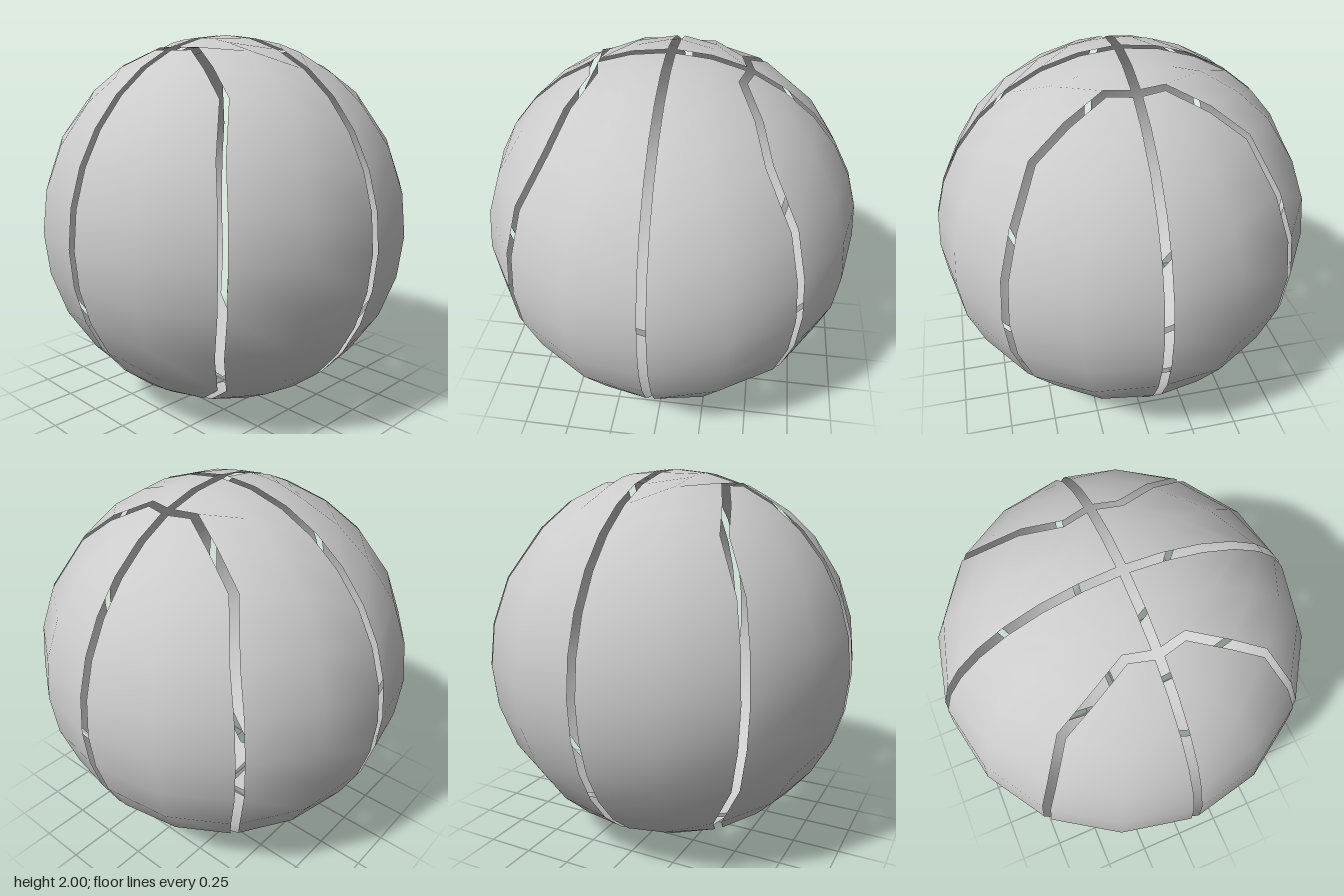
import * as THREE from 'three';

const GAP = 0.021; // half width of the seams
const STEP = Math.PI / 16; // one row of facets
const V = (x, y, z) => new THREE.Vector3(x, y, z);

// Side seam, from the equator to where it meets the cross seam: (y, z) on the unit sphere
const sideSeam = [[0, 0.707], [0.22, 0.688], [0.455, 0.62], [0.705, 0.5], [0.835, 0.33], [0.925, 0.14], [0.924, 0]]
  .map(([y, z]) => V(Math.sqrt(1 - y * y - z * z), y, z));

// Edge of a panel along the side seam; side = 1 is the outer panel, -1 the inner one
function sideEdge(k, side) {
  const p = sideSeam[k];
  const before = k > 0 ? sideSeam[k - 1] : sideSeam[1].clone().multiply(V(1, -1, 1));
  const after = k < 6 ? sideSeam[k + 1] : sideSeam[5].clone().multiply(V(1, 1, -1));
  const across = after.clone().sub(before).normalize().cross(p).normalize();
  const q = p.clone().addScaledVector(across, GAP * side);
  if (k === 6) q.z = GAP;
  return q.normalize();
}

// Start and end of each row, for rows from the equator upward
function outerRow(j) {
  const edge = sideEdge(j, 1);
  if (j === 6) return [edge, edge];
  return [edge, V(Math.cos(j * STEP), Math.sin(j * STEP), GAP).normalize()];
}

function innerRow(j) {
  const z = Math.max(Math.cos(j * STEP), GAP);
  return [V(GAP, Math.sin(j * STEP), z).normalize(), sideEdge(Math.min(j, 6), -1)];
}

// Curved panel, two facets wide, mirrored about the equator and into its quadrant
function panel(row, rows, sx, sz) {
  const points = [], index = [];
  for (let j = -rows; j <= rows; j++) {
    const [a, b] = row(Math.abs(j));
    const middle = a.clone().add(b).normalize();
    for (const p of [a, middle, b]) points.push(p.clone().multiply(V(sx, j < 0 ? -1 : 1, sz)));
  }
  const triangle = (a, b, c) => {
    const [p, q, r] = [points[a], points[b], points[c]];
    if (Math.min(p.distanceTo(q), q.distanceTo(r), r.distanceTo(p)) < 1e-6) return;
    index.push(...(sx * sz > 0 ? [a, b, c] : [a, c, b]));
  };
  for (let j = 0; j < rows * 2; j++) {
    for (let i = 0; i < 2; i++) {
      const a = j * 3 + i;
      triangle(a, a + 1, a + 4);
      triangle(a, a + 4, a + 3);
    }
  }
  const geometry = new THREE.BufferGeometry().setFromPoints(points);
  geometry.setIndex(index);
  // On a unit sphere the smooth normal equals the position
  geometry.setAttribute('normal', geometry.attributes.position.clone());
  return geometry;
}

export function createModel() {
  const material = new THREE.MeshStandardMaterial({ color: 0xcccccc, side: THREE.DoubleSide });
  const ball = new THREE.Group();
  ball.name = 'ball';
  for (const sx of [1, -1]) {
    for (const sz of [1, -1]) {
      const place = (sz > 0 ? 'Front' : 'Back') + (sx > 0 ? 'Left' : 'Right');
      for (const [name, row, rows] of [['outerPanel', outerRow, 6], ['innerPanel', innerRow, 8]]) {
        const mesh = new THREE.Mesh(panel(row, rows, sx, sz), material);
        mesh.name = name + place;
        ball.add(mesh);
      }
    }
  }
  // The ball rests tipped very slightly forward
  ball.rotation.x = 0.0125;
  ball.position.y = 1;
  const model = new THREE.Group();
  model.name = 'basketball';
  model.add(ball);
  return model;
}
